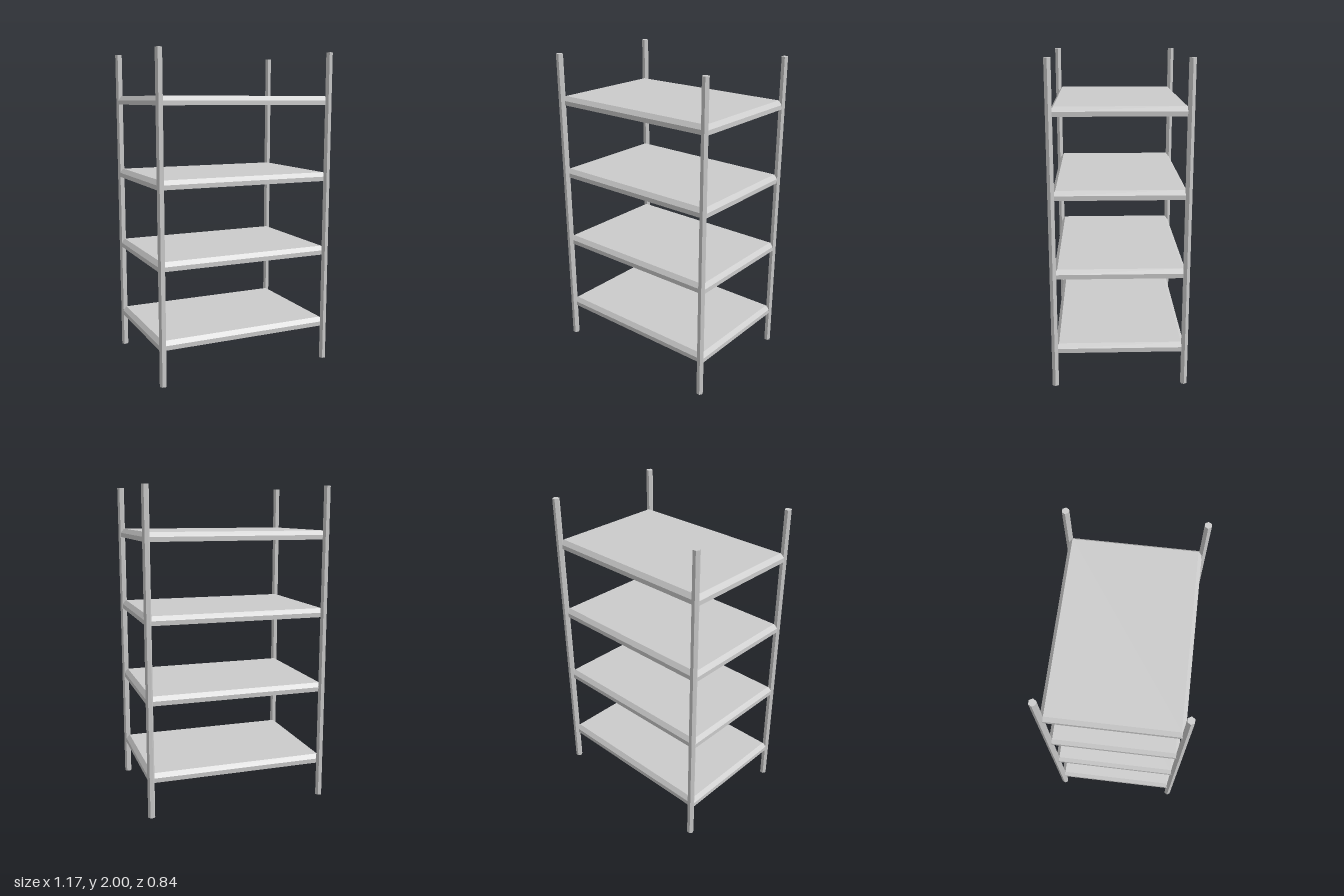
import * as THREE from 'three';

const material = new THREE.MeshStandardMaterial({ color: 0xcccccc, flatShading: true });

// Slab with a sloped bevel around its upper edge: a box whose middle ring
// keeps the full outline and whose top ring is pulled inwards.
function bevelledSlab(width, height, depth, bevelWidth, bevelHeight) {
  const geometry = new THREE.BoxGeometry(width, height, depth, 1, 2, 1);
  const p = geometry.attributes.position;
  for (let i = 0; i < p.count; i++) {
    const y = p.getY(i);
    if (y > height / 4) {
      p.setX(i, p.getX(i) - Math.sign(p.getX(i)) * bevelWidth);
      p.setZ(i, p.getZ(i) - Math.sign(p.getZ(i)) * bevelWidth);
    } else if (y > -height / 4) {
      p.setY(i, height / 2 - bevelHeight);
    }
  }
  const flat = geometry.toNonIndexed();
  flat.computeVertexNormals();
  return flat;
}

export function createModel() {
  const group = new THREE.Group();
  group.name = 'shelvingUnit';

  // Four hexagonal corner posts, with a corner pointing sideways
  const postGeometry = new THREE.CylinderGeometry(0.0222, 0.0222, 2, 6);
  postGeometry.rotateY(Math.PI / 2);
  for (const [x, side] of [[0.565, 'Left'], [-0.565, 'Right']]) {
    for (const [z, end] of [[0.4, 'front'], [-0.4, 'back']]) {
      const post = new THREE.Mesh(postGeometry, material);
      post.name = `${end}${side}Post`;
      post.position.set(x, 1, z);
      group.add(post);
    }
  }

  // Four evenly spaced shelves
  const thickness = 0.055;
  const shelfGeometry = bevelledSlab(1.153, thickness, 0.797, 0.022, 0.027);
  for (let i = 0; i < 4; i++) {
    const shelf = new THREE.Mesh(shelfGeometry, material);
    shelf.name = `shelf${i + 1}`;
    shelf.position.set(-0.002, 0.22 + i * 0.4855 + thickness / 2, -0.002);
    group.add(shelf);
  }

  return group;
}
